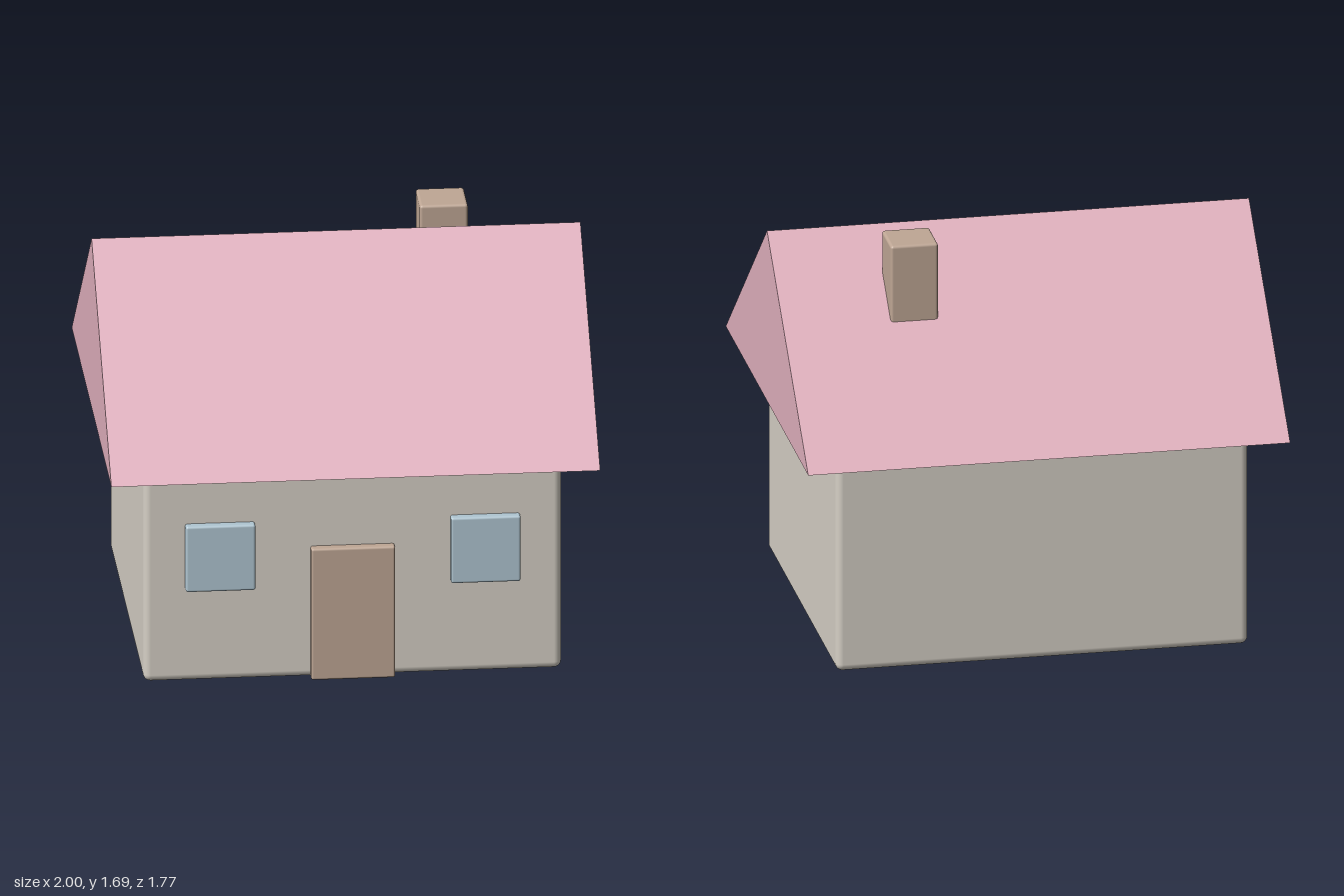
import * as THREE from 'three';
import { RoundedBoxGeometry } from 'three/addons/geometries/RoundedBoxGeometry.js';

export function createModel() {
  const house = new THREE.Group();
  house.name = 'house';

  const material = (name, color) => {
    const m = new THREE.MeshStandardMaterial({ color });
    m.name = name;
    return m;
  };
  const stone = material('warm grey wall', 0xd6d0c6);
  const pink = material('pink roof', 0xe0afbd);
  const brown = material('light brown', 0xbfa795);
  const blue = material('pale blue glass', 0xb0c6d2);

  // Softly rounded block given by its limits on each axis
  const block = (name, mat, [x0, x1], [y0, y1], [z0, z1], radius) => {
    const geometry = new RoundedBoxGeometry(x1 - x0, y1 - y0, z1 - z0, 3, radius);
    const mesh = new THREE.Mesh(geometry, mat);
    mesh.position.set((x0 + x1) / 2, (y0 + y1) / 2, (z0 + z1) / 2);
    mesh.name = name;
    house.add(mesh);
  };

  block('walls', stone, [-0.855, 0.855], [0, 0.92], [-0.74, 0.74], 0.03);
  block('door', brown, [-0.172, 0.172], [0, 0.575], [0.7, 0.778], 0.01);
  block('leftWindow', blue, [0.4, 0.685], [0.403, 0.69], [0.7, 0.778], 0.01);
  block('rightWindow', blue, [-0.685, -0.4], [0.403, 0.69], [0.7, 0.778], 0.01);
  block('chimney', brown, [0.358, 0.555], [1.2, 1.69], [-0.357, -0.16], 0.012);

  // Gabled roof: a triangle swept along x
  const gable = new THREE.Shape();
  gable.moveTo(-0.885, 0.92);
  gable.lineTo(0.885, 0.92);
  gable.lineTo(0, 1.66);
  gable.closePath();
  const roofGeometry = new THREE.ExtrudeGeometry(gable, { depth: 2, bevelEnabled: false });
  roofGeometry.translate(0, 0, -1).rotateY(Math.PI / 2);
  const roof = new THREE.Mesh(roofGeometry, pink);
  roof.name = 'roof';
  house.add(roof);

  return house;
}
